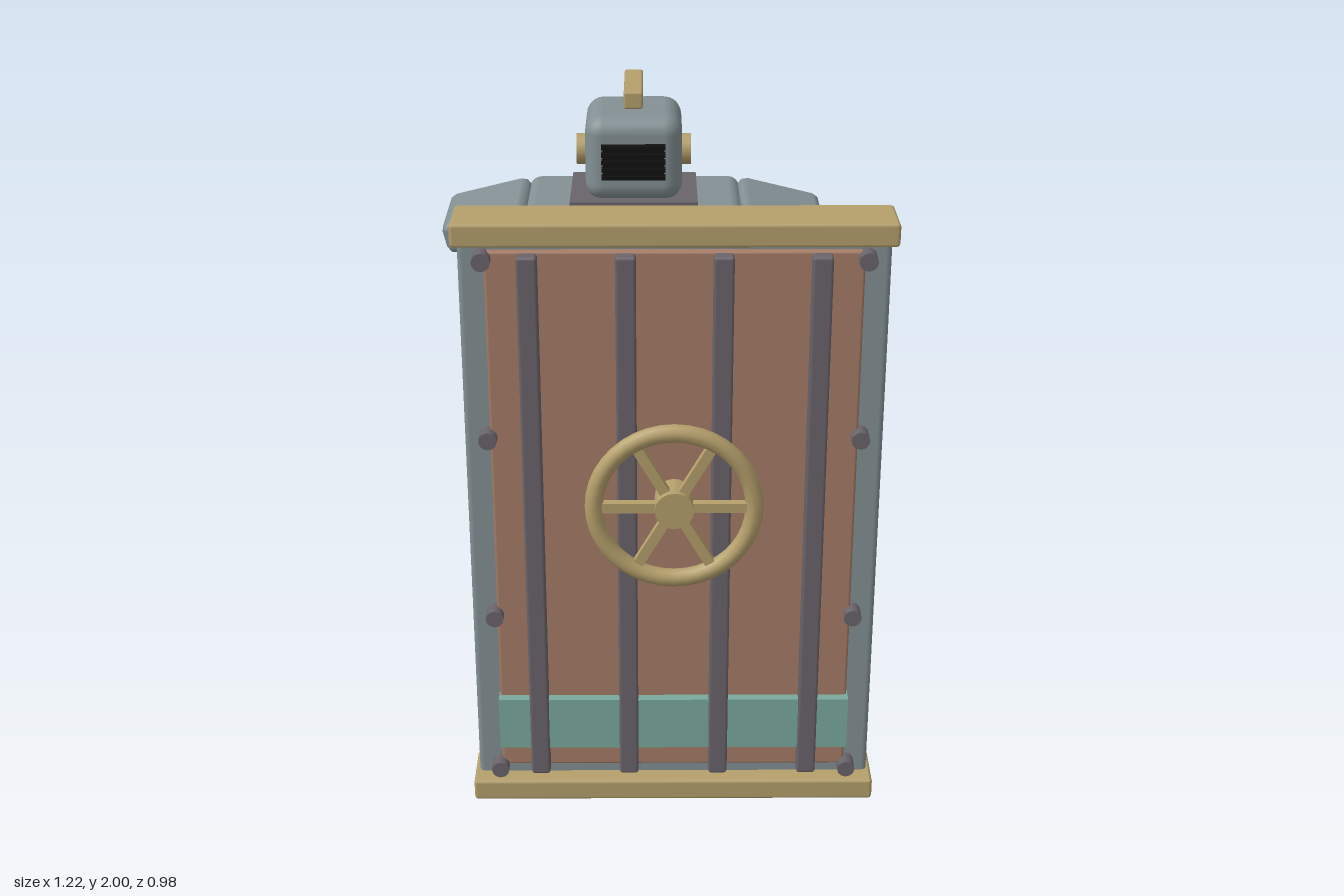
import * as THREE from 'three';
import { RoundedBoxGeometry } from 'three/addons/geometries/RoundedBoxGeometry.js';

const mat = (color) => new THREE.MeshStandardMaterial({ color });
const STEEL = mat(0x839094), DARK = mat(0x6a646b), TEAL = mat(0x7aaa9c);
const RUST = mat(0xa67c66), GOLD = mat(0xb5a06c), BLACK = mat(0x101010);

function add(parent, name, geometry, material, x = 0, y = 0, z = 0) {
  const mesh = new THREE.Mesh(geometry, material);
  mesh.name = name;
  mesh.position.set(x, y, z);
  parent.add(mesh);
  return mesh;
}

// Bevelled box given by its lower and upper limits on each axis
function block(parent, name, material, [x0, x1], [y0, y1], [z0, z1], bevel = 0.008, segments = 1) {
  const w = x1 - x0, h = y1 - y0, d = z1 - z0;
  const geometry = bevel ? new RoundedBoxGeometry(w, h, d, segments, bevel) : new THREE.BoxGeometry(w, h, d);
  return add(parent, name, geometry, material, (x0 + x1) / 2, (y0 + y1) / 2, (z0 + z1) / 2);
}

// Cylinder along the chosen axis
function rod(parent, name, material, r, length, axis, x, y, z, sides = 20) {
  const geometry = new THREE.CylinderGeometry(r, r, length, sides);
  if (axis === 'x') geometry.rotateZ(Math.PI / 2);
  if (axis === 'z') geometry.rotateX(Math.PI / 2);
  return add(parent, name, geometry, material, x, y, z);
}

function createShield() {
  const shield = new THREE.Group();
  shield.name = 'doorShield';
  shield.position.x = 0.032;
  block(shield, 'shieldSlab', STEEL, [-0.565, 0.565], [0.03, 1.75], [0.252, 0.375], 0.015);
  block(shield, 'shieldPanel', RUST, [-0.495, 0.495], [0.12, 1.69], [0.36, 0.395]);
  block(shield, 'shieldBand', TEAL, [-0.498, 0.498], [0.195, 0.355], [0.37, 0.422], 0);
  for (const y of [0.02, 1.71]) {
    block(shield, 'shieldCap', GOLD, [-0.578, 0.578], [y, y + 0.065], [0.262, 0.43], 0.01);
  }
  for (let i = 0; i < 4; i++) {
    const x = (i - 1.5) * 0.255;
    block(shield, 'shieldBar', DARK, [x - 0.027, x + 0.027], [0.11, 1.685], [0.38, 0.43]);
  }
  for (const x of [-0.5, 0.5]) for (const y of [0.12, 0.62, 1.165, 1.67]) {
    rod(shield, 'shieldBolt', DARK, 0.025, 0.06, 'z', x, y, 0.395, 12);
  }
  block(shield, 'shieldGrip', DARK, [-0.135, 0.135], [0.8, 1.0], [0.19, 0.26], 0);

  // Hand wheel with three full-width spokes
  const wheel = new THREE.Group();
  wheel.name = 'handWheel';
  wheel.position.set(0, 0.987, 0.457);
  shield.add(wheel);
  add(wheel, 'wheelRim', new THREE.TorusGeometry(0.217, 0.025, 10, 40), GOLD);
  rod(wheel, 'wheelHub', GOLD, 0.053, 0.1, 'z', 0, 0, -0.02);
  for (let i = 0; i < 3; i++) {
    const spoke = add(wheel, 'wheelSpoke', new THREE.BoxGeometry(0.42, 0.028, 0.024), GOLD);
    spoke.rotation.z = i * Math.PI / 3;
  }
  return shield;
}

function createBody(robot) {
  // Head
  block(robot, 'head', STEEL, [-0.134, 0.134], [1.69, 1.93], [-0.3, -0.013], 0.05, 3);
  block(robot, 'visor', BLACK, [-0.084, 0.084], [1.77, 1.855], [-0.04, 0.002], 0);
  for (let i = 0; i < 5; i++) {
    const y = 1.765 + i * 0.021;
    block(robot, 'visorSlat', BLACK, [-0.088, 0.088], [y, y + 0.01], [-0.02, 0.014], 0);
  }
  rod(robot, 'earDiscs', GOLD, 0.043, 0.32, 'x', 0, 1.81, -0.142);
  block(robot, 'headCrest', GOLD, [-0.026, 0.026], [1.953, 2.0], [-0.29, -0.025], 0.006);

  // Torso and backpack
  block(robot, 'neck', DARK, [-0.177, 0.177], [1.62, 1.7], [-0.284, 0.008], 0);
  block(robot, 'torso', STEEL, [-0.304, 0.304], [1.225, 1.685], [-0.325, 0.037], 0.035, 2);
  block(robot, 'chestPlate', TEAL, [-0.248, 0.248], [1.3, 1.625], [0.02, 0.06], 0.015);
  for (const y of [1.365, 1.53]) {
    block(robot, 'chestVent', BLACK, [-0.176, 0.176], [y - 0.01, y + 0.01], [0.05, 0.066], 0);
  }
  block(robot, 'backpack', STEEL, [-0.208, 0.208], [1.235, 1.595], [-0.418, -0.3], 0.012);
  for (const s of [-1, 1]) rod(robot, 'backTank', RUST, 0.051, 0.345, 'y', s * 0.128, 1.413, -0.438, 14);

  // Waist and hips
  block(robot, 'waist', DARK, [-0.205, 0.205], [1.0, 1.25], [-0.275, -0.01]);
  block(robot, 'hips', DARK, [-0.245, 0.245], [0.865, 1.0], [-0.284, -0.005], 0.015);
  block(robot, 'belt', GOLD, [-0.268, 0.268], [0.985, 1.04], [-0.3, 0.02], 0.005);
}

function createLimbs(robot, s) {
  const side = s > 0 ? 'left' : 'right';
  const box = (name, material, x, halfWidth, y, z, bevel) =>
    block(robot, side + name, material, [s * x - halfWidth, s * x + halfWidth], y, z, bevel);

  // Arm
  const arm = 0.378;
  const pauldron = box('ShoulderPlate', STEEL, 0.41, 0.122, [1.568, 1.663], [-0.298, 0.005], 0.025);
  pauldron.rotation.z = -s * 0.24;
  box('UpperArm', DARK, arm, 0.068, [1.2, 1.59], [-0.22, -0.057]);
  rod(robot, side + 'Elbow', DARK, 0.07, 0.146, 'x', s * arm, 1.215, -0.14);
  box('Forearm', TEAL, arm, 0.075, [0.945, 1.19], [-0.23, -0.055]);
  box('Hand', DARK, arm, 0.06, [0.842, 0.96], [-0.205, -0.075]);

  // Hip plate, flaring outward
  const plate = box('HipPlate', TEAL, 0.277, 0.011, [0.82, 1.012], [-0.235, 0.013], 0.005);
  plate.rotation.z = s * 0.2;

  // Leg
  const leg = 0.137;
  box('Thigh', DARK, leg, 0.1, [0.505, 0.88], [-0.245, -0.04], 0.012);
  box('ThighPlate', TEAL, leg, 0.075, [0.535, 0.8], [-0.06, -0.02]);
  rod(robot, side + 'Knee', DARK, 0.087, 0.208, 'x', s * leg, 0.48, -0.14, 24);
  box('KneePad', STEEL, leg, 0.075, [0.425, 0.545], [-0.08, 0.003], 0.018);
  box('Shin', DARK, leg, 0.092, [0.12, 0.44], [-0.238, -0.05], 0.012);
  box('ShinPlate', TEAL, leg, 0.075, [0.135, 0.422], [-0.07, -0.018]);
  rod(robot, side + 'Ankle', DARK, 0.05, 0.1, 'y', s * leg, 0.1, -0.14);
  box('Foot', STEEL, leg, 0.108, [0, 0.092], [-0.257, 0.055], 0.012);

  // Toe wedge: the front face is squeezed
  const toe = new THREE.BoxGeometry(0.214, 0.075, 0.085);
  const p = toe.attributes.position;
  for (let i = 0; i < p.count; i++) if (p.getZ(i) > 0) p.setY(i, p.getY(i) * 0.4);
  toe.computeVertexNormals();
  add(robot, side + 'Toe', toe, STEEL, s * leg, 0.046, 0.087);
}

function createCannon(robot) {
  const x = -0.378, z = -0.077;
  rod(robot, 'cannonBarrel', DARK, 0.088, 0.3, 'y', x, 0.835, z, 20);
  rod(robot, 'cannonMuzzle', RUST, 0.066, 0.06, 'y', x, 0.665, z, 20);
  const ring = add(robot, 'cannonRing', new THREE.TorusGeometry(0.096, 0.017, 8, 28), GOLD, x, 0.915, z);
  ring.rotation.x = Math.PI / 2;
}

export function createModel() {
  const model = new THREE.Group();
  model.name = 'shieldRobot';
  model.add(createShield());

  const robot = new THREE.Group();
  robot.name = 'robot';
  robot.position.x = -0.077;
  model.add(robot);
  createBody(robot);
  for (const s of [-1, 1]) createLimbs(robot, s);
  createCannon(robot);
  return model;
}
